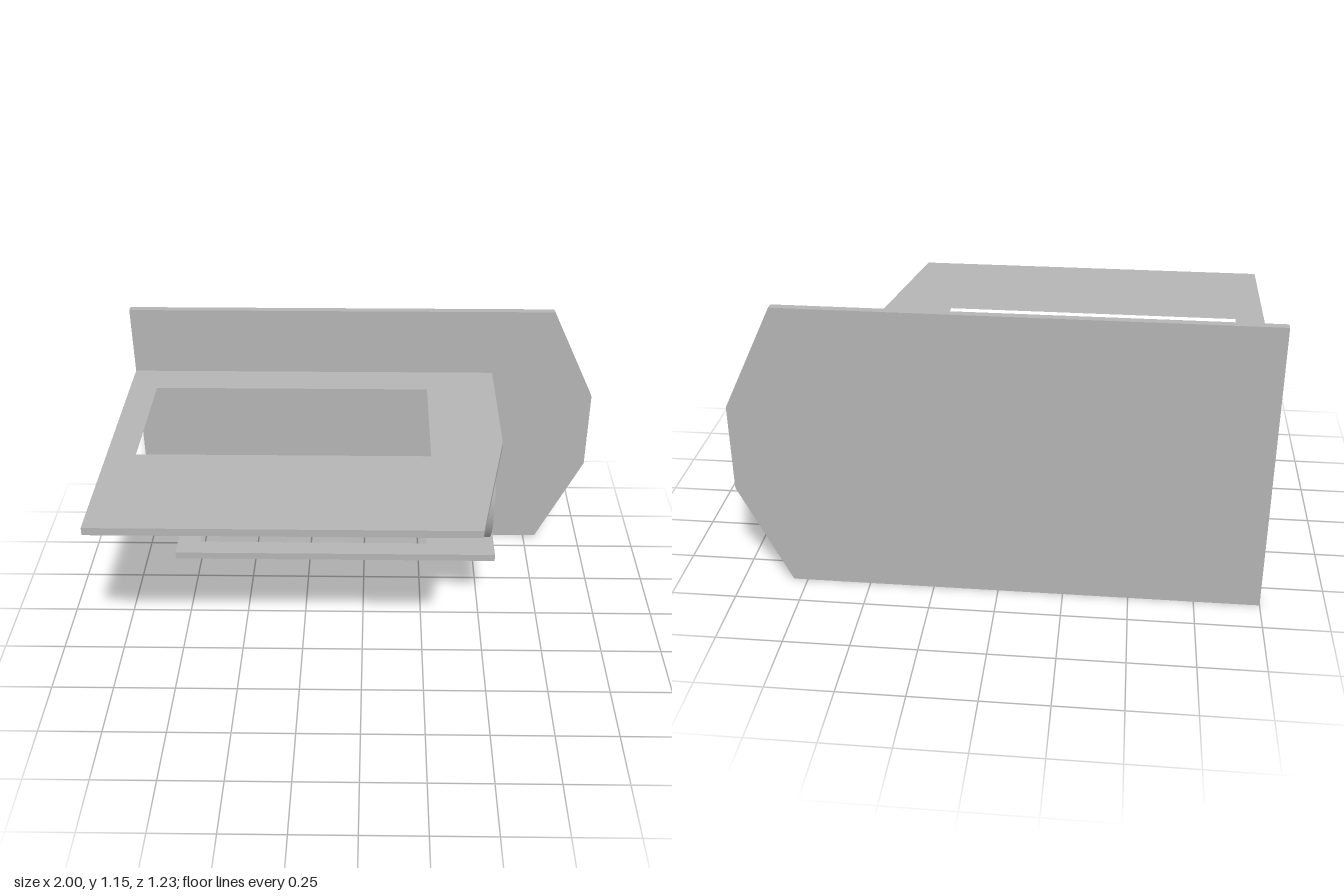
import * as THREE from 'three';
import { toCreasedNormals } from 'three/addons/utils/BufferGeometryUtils.js';

const points = (list) => list.map(([x, y]) => new THREE.Vector2(x, y));

// Flat plate cut from an outline, with an optional hole
function plateGeometry(outline, depth, hole) {
  const shape = new THREE.Shape(points(outline));
  if (hole) shape.holes.push(new THREE.Path(points(hole)));
  return new THREE.ExtrudeGeometry(shape, { depth, bevelEnabled: false });
}

const rectangle = (x0, x1, z0, z1) => [[x0, z0], [x1, z0], [x1, z1], [x0, z1]];

export function createModel() {
  const model = new THREE.Group();
  const grey = new THREE.MeshStandardMaterial({ color: 0xb4b4b4 });
  grey.name = 'plainGrey';

  function add(name, geometry, x = 0, y = 0, z = 0) {
    const mesh = new THREE.Mesh(geometry, grey);
    mesh.name = name;
    mesh.position.set(x, y, z);
    model.add(mesh);
    return mesh;
  }

  // Horizontal plate: outline and hole are given as [x, z]
  function addShelf(name, y, outline, hole) {
    const flip = (list) => list.map(([x, z]) => [x, -z]);
    const geometry = plateGeometry(flip(outline), 0.031, flip(hole));
    geometry.rotateX(-Math.PI / 2);
    add(name, geometry, 0, y, 0);
  }

  // Upright back plate with a tapered end
  add('backPlate', plateGeometry(
    [[-1, 0], [0.805, 0], [1, 0.405], [1, 0.75], [0.805, 1.155], [-1, 1.155]], 0.03,
  ), 0, 0, -0.615);

  // Two framed shelves
  addShelf('upperShelf', 0.835,
    [[-1, -0.585], [0.555, -0.585], [0.555, 0], [0.44, 0.613], [-1, 0.613]],
    rectangle(-0.885, 0.267, -0.43, 0.11));
  addShelf('lowerShelf', 0.293,
    rectangle(-0.79, 0.555, -0.585, 0.018),
    rectangle(-0.695, 0.27, -0.31, -0.062));

  // Round housing with a hemispherical bowl opening to the side
  const outer = 0.264, inner = 0.186, length = 0.23;
  const profile = [[0, 0], [outer, 0], [outer, length]];
  for (let i = 0; i <= 20; i++) {
    const a = (i / 20) * Math.PI / 2;
    profile.push([i === 20 ? 0 : inner * Math.cos(a), length - inner * Math.sin(a)]);
  }
  const housing = new THREE.LatheGeometry(points(profile), 64);
  add('roundHousing', toCreasedNormals(housing, 0.6), 0.305, 0.579, -0.21)
    .rotation.z = -Math.PI / 2;

  // Block joining the housing to the back plate
  add('mountingBlock', new THREE.BoxGeometry(0.22, 0.511, 0.181), 0.42, 0.5795, -0.4945);

  return model;
}
